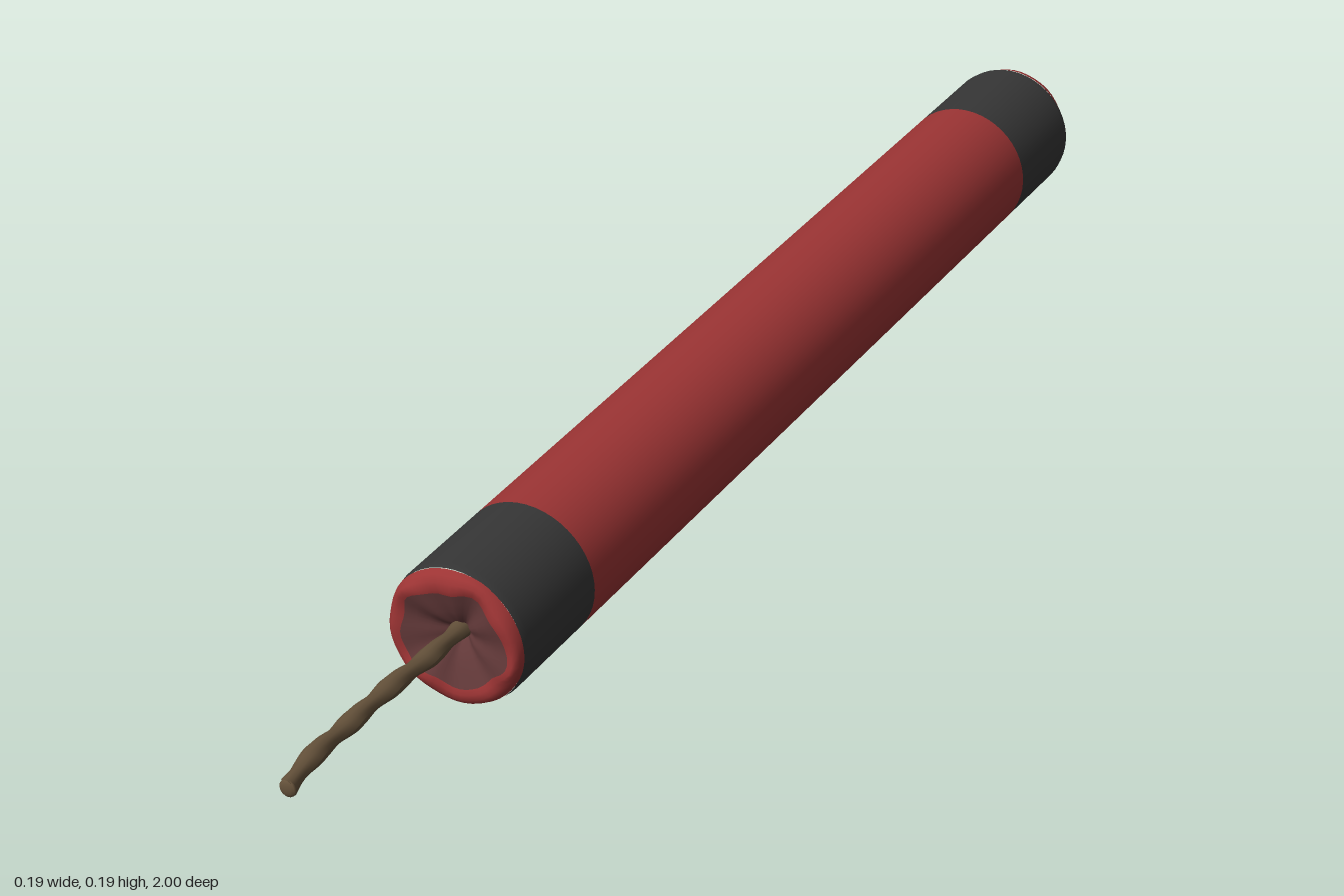
import * as THREE from 'three';
import { mergeVertices } from 'three/addons/utils/BufferGeometryUtils.js';

const R = 0.095; // stick radius
const SIDES = 48;

const paint = (name, color) => {
  const m = new THREE.MeshStandardMaterial({ color });
  m.name = name;
  return m;
};

// Lathe about z from [radius, z] pairs
function turned(points) {
  const g = new THREE.LatheGeometry(points.map(([r, z]) => new THREE.Vector2(r, z)), SIDES);
  return g.rotateX(Math.PI / 2);
}

// Crumple paper: uneven radius and depth, fading out at the centre and the outer wall
function crumple(geometry, phase) {
  geometry.deleteAttribute('uv');
  geometry.deleteAttribute('normal');
  const g = mergeVertices(geometry, 1e-5);
  const p = g.attributes.position;
  for (let i = 0; i < p.count; i++) {
    const x = p.getX(i), y = p.getY(i), r = Math.hypot(x, y);
    const a = Math.atan2(y, x) + phase;
    const fade = Math.max(0, Math.min(1, (R - r) / 0.02, r / 0.03));
    const k = 1 + fade * (0.07 * Math.sin(2 * a + 0.6) + 0.05 * Math.sin(5 * a) + 0.02 * Math.sin(9 * a));
    const dz = fade * (0.0025 * Math.sin(3 * a) + 0.002 * Math.sin(7 * a + 1));
    p.setXYZ(i, x * k, y * k, p.getZ(i) + dz);
  }
  g.computeVertexNormals();
  return g;
}

export function createModel() {
  const red = paint('red paper', 0x9c3434);
  const dark = paint('dark tape', 0x363636);
  const sooty = paint('sooty red paper', 0x643a3a);
  const cord = paint('brown cord', 0x64513a);

  const model = new THREE.Group();
  model.name = 'fusedStick';
  const add = (parent, name, geometry, material) => {
    const mesh = new THREE.Mesh(geometry, material);
    mesh.name = name;
    parent.add(mesh);
    return mesh;
  };

  const stick = new THREE.Group();
  stick.name = 'stick';
  stick.position.y = R;
  model.add(stick);

  // Paper tube between the tape bands
  add(stick, 'paperTube', turned([[R, -0.82], [R, 0.455]]), red);

  // Each end: tape band, folded paper rim and pushed-in middle
  const ends = [
    { name: 'frontEnd', tip: 0.637, band: 0.455, turn: 0, phase: 0.4 },
    { name: 'backEnd', tip: 0.995, band: 0.82, turn: Math.PI, phase: 2.1 },
  ];
  for (const { name, tip, band, turn, phase } of ends) {
    const end = new THREE.Group();
    end.name = name;
    end.rotation.y = turn;
    stick.add(end);
    add(end, 'tapeBand', turned([[R, band], [R, tip - 0.025], [R - 0.002, tip - 0.014]]), dark);
    const rim = [[R - 0.002, tip - 0.014], [0.09, tip - 0.006], [0.084, tip - 0.001],
      [0.077, tip], [0.07, tip - 0.002]];
    add(end, 'foldedRim', crumple(turned(rim), phase), red);
    const middle = [[0.07, tip - 0.002], [0.055, tip - 0.006], [0.038, tip - 0.011],
      [0.022, tip - 0.018], [0.01, tip - 0.027], [0, tip - 0.032]];
    add(end, 'pushedInMiddle', crumple(turned(middle), phase), sooty);
  }

  // Fuse: a slightly bent cord with a twisted, lumpy surface
  const path = new THREE.CatmullRomCurve3([
    [0, 0.1, 0.6], [0.001, 0.102, 0.68], [-0.003, 0.105, 0.77],
    [-0.005, 0.104, 0.86], [-0.003, 0.107, 0.94], [0.004, 0.104, 0.998],
  ].map((v) => new THREE.Vector3(...v)));
  const STEPS = 56, AROUND = 12;
  const tube = new THREE.TubeGeometry(path, STEPS, 0.0115, AROUND);
  const p = tube.attributes.position;
  const c = new THREE.Vector3(), v = new THREE.Vector3();
  for (let i = 0; i < p.count; i++) {
    const step = Math.floor(i / (AROUND + 1));
    const a = (i % (AROUND + 1)) / AROUND * Math.PI * 2;
    path.getPointAt(step / STEPS, c);
    v.fromBufferAttribute(p, i).sub(c).multiplyScalar(1 + 0.16 * Math.sin(2 * a + step * 0.55));
    p.setXYZ(i, c.x + v.x, c.y + v.y, c.z + v.z);
  }
  tube.computeVertexNormals();
  add(model, 'fuse', tube, cord);

  // Blunt fuse tip
  const tip = add(model, 'fuseTip', new THREE.SphereGeometry(0.0115, 12, 8), cord);
  tip.position.set(0.004, 0.104, 0.996);
  tip.scale.z = 0.35;

  return model;
}
